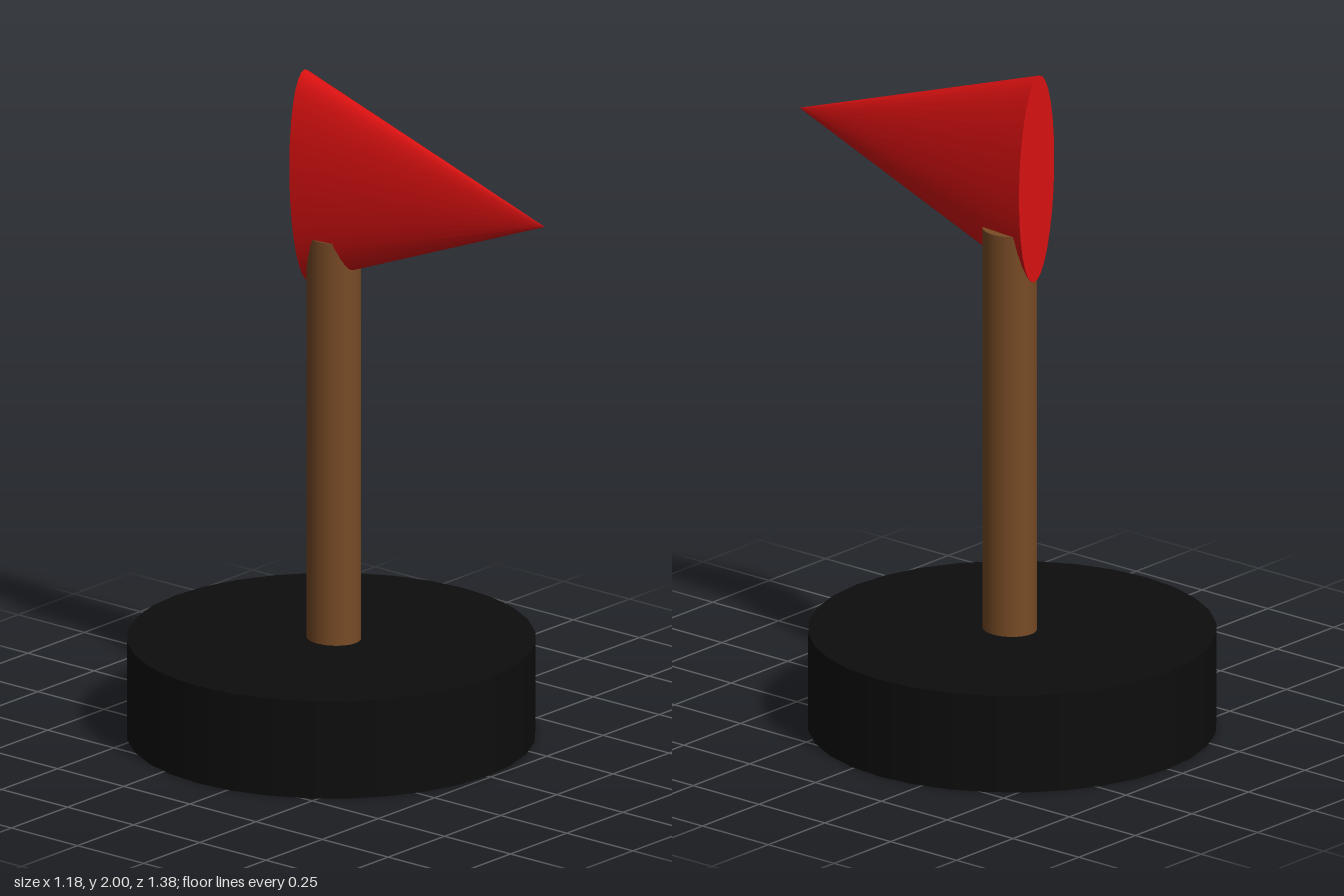
import * as THREE from 'three';

const material = (name, color) => {
  const m = new THREE.MeshStandardMaterial({ color });
  m.name = name;
  return m;
};

export function createModel() {
  const black = material('black', 0x0d0d0d);
  const brown = material('brown', 0x784b25);
  const red = material('red', 0xdb1111);
  const group = new THREE.Group();

  const add = (name, geometry, mat, x, y, z) => {
    const mesh = new THREE.Mesh(geometry, mat);
    mesh.name = name;
    mesh.position.set(x, y, z);
    group.add(mesh);
    return mesh;
  };

  // Round base
  add('base', new THREE.CylinderGeometry(0.59, 0.59, 0.295, 32), black, 0, 0.1475, -0.103);

  // Slightly oval pole, its foot sunk into the base
  const pole = new THREE.CylinderGeometry(1, 1, 1.315, 32).scale(0.074, 1, 0.082);
  add('pole', pole, brown, 0.003, 0.8575, -0.096);

  // Pennant: a flattened cone whose axis runs from the pole to the tip
  const back = new THREE.Vector3(-0.01, 1.683, -0.187);
  const tip = new THREE.Vector3(0.015, 1.707, 0.692);
  const length = back.distanceTo(tip);
  const cone = new THREE.ConeGeometry(1, length, 32)
    .rotateX(Math.PI / 2)
    .scale(0.08, 0.318, 1)
    .translate(0, 0, length / 2);
  add('flag', cone, red, back.x, back.y, back.z).lookAt(tip);

  return group;
}
